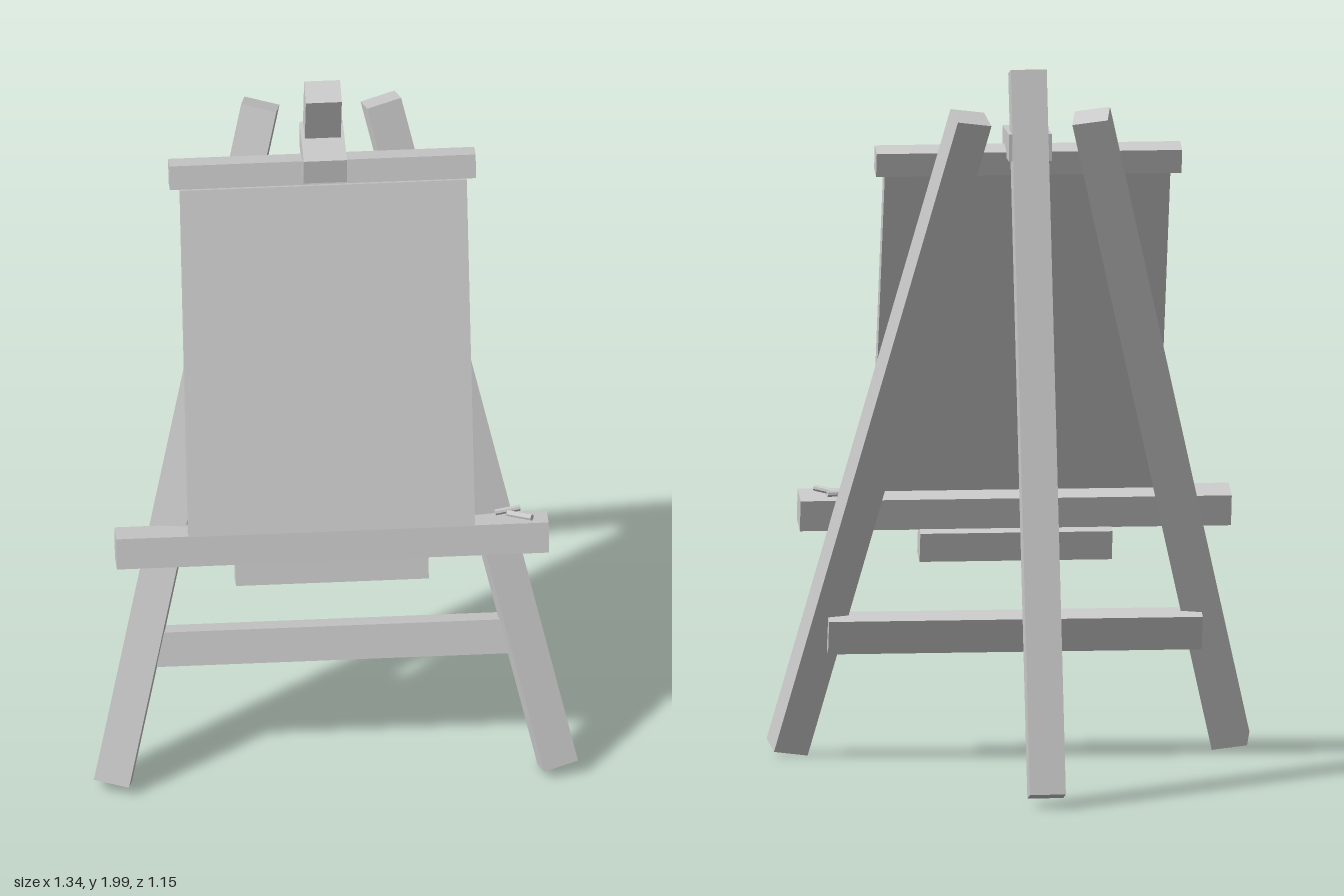
import * as THREE from 'three';

export function createModel() {
  const easel = new THREE.Group();
  easel.name = 'easel';
  const material = new THREE.MeshStandardMaterial({ color: 0xcccccc, flatShading: true });

  function add(name, geometry) {
    const mesh = new THREE.Mesh(geometry, material);
    mesh.name = name;
    easel.add(mesh);
    return mesh;
  }

  // Box centred at a point; positive tilt leans its top forward (degrees)
  function bar(name, size, position, tilt = 0) {
    const mesh = add(name, new THREE.BoxGeometry(...size));
    mesh.position.set(...position);
    mesh.rotation.x = THREE.MathUtils.degToRad(tilt);
    return mesh;
  }

  // Splayed front legs: each follows its outer front edge, twisted outwards
  for (const side of [-1, 1]) {
    const foot = new THREE.Vector3(side * 0.672, 0.05, 0.555);
    const head = new THREE.Vector3(side * 0.222, 1.896, -0.075);
    const width = 0.1, depth = 0.078;
    const up = head.clone().sub(foot);
    const length = up.length();
    up.normalize();
    const across = new THREE.Vector3(0.095, -side * -0.015, -side * 0.024);
    across.addScaledVector(up, -across.dot(up)).normalize();
    const out = across.clone().cross(up);
    const leg = add(side > 0 ? 'leftFrontLeg' : 'rightFrontLeg',
      new THREE.BoxGeometry(width, length, depth));
    leg.quaternion.setFromRotationMatrix(new THREE.Matrix4().makeBasis(across, up, out));
    leg.position.copy(foot).add(head).multiplyScalar(0.5)
      .addScaledVector(across, -side * width / 2)
      .addScaledVector(out, -depth / 2);
  }

  // Rear prop and cross members
  bar('backLeg', [0.1, 2.025, 0.077], [0, 1.011, -0.267], 15.5);
  bar('crossbar', [1.04, 0.1, 0.063], [0, 0.368, 0.375], -18);
  bar('tray', [1.2, 0.09, 0.09], [0, 0.714, 0.377], -15);
  bar('trayBlock', [0.535, 0.085, 0.07], [0, 0.62, 0.36], -16);

  // Board held between the tray and the top rail
  bar('board', [0.795, 1.0, 0.05], [-0.003, 1.24, 0.228], -20.5);
  bar('topRail', [0.85, 0.07, 0.06], [-0.004, 1.738, 0.026], -16);
  bar('topClamp', [0.12, 0.075, 0.185], [0, 1.785, 0.012]);

  // Chalk sticks lying on the tray
  const sticks = [
    [[0.455, 0.763, 0.345], [0.525, 0.765, 0.33]],
    [[0.49, 0.763, 0.35], [0.555, 0.774, 0.39]],
  ];
  for (const [a, b] of sticks) {
    const start = new THREE.Vector3(...a), end = new THREE.Vector3(...b);
    const dir = end.clone().sub(start);
    const stick = add('chalk', new THREE.CylinderGeometry(0.009, 0.009, dir.length(), 8));
    stick.position.copy(start).add(end).multiplyScalar(0.5);
    stick.quaternion.setFromUnitVectors(new THREE.Vector3(0, 1, 0), dir.normalize());
  }

  return easel;
}
